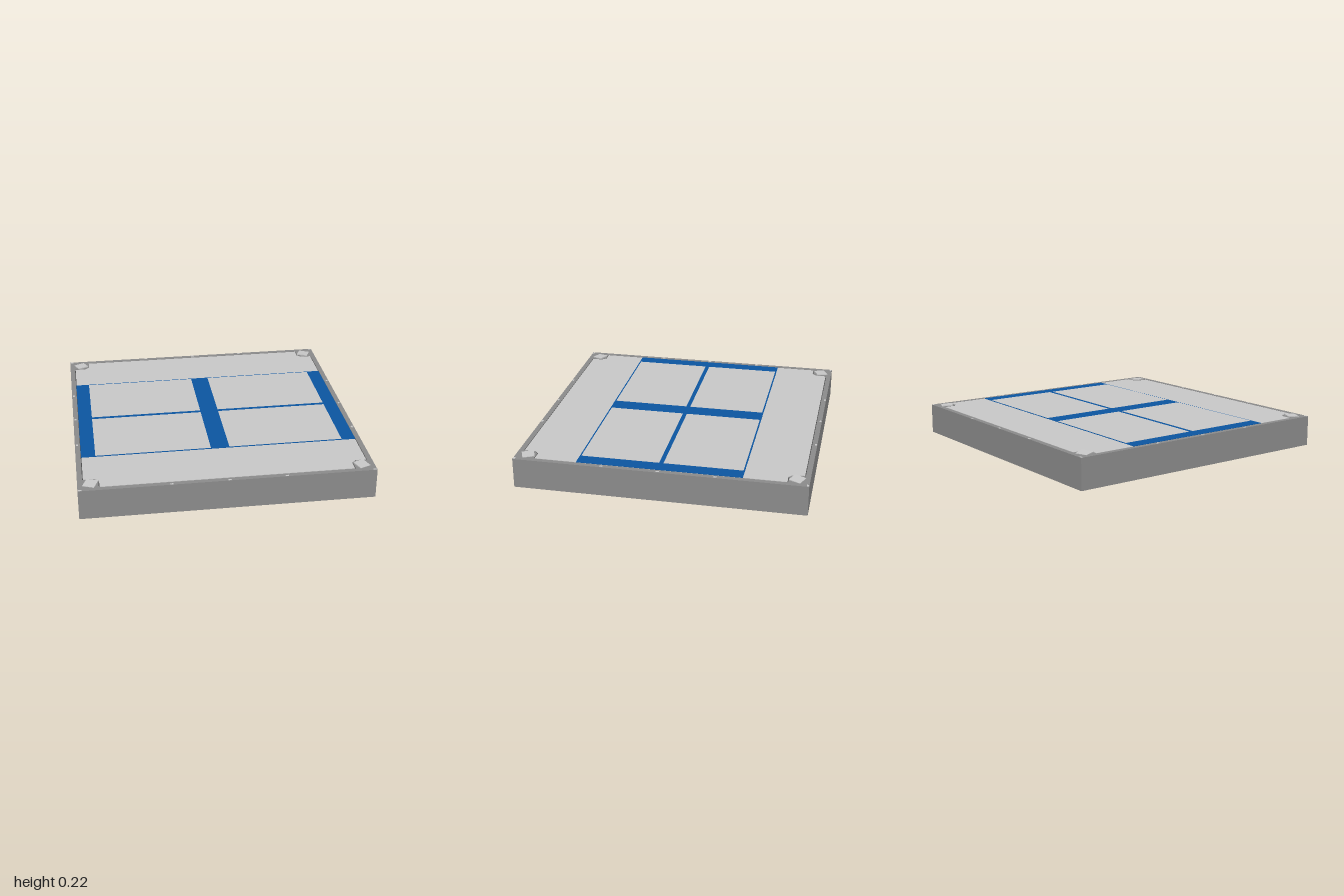
import * as THREE from 'three';

export function createModel() {
  const model = new THREE.Group();
  const mat = (name, color, side = THREE.FrontSide) => {
    const m = new THREE.MeshStandardMaterial({ color, side });
    m.name = name;
    return m;
  };
  const frameGrey = mat('frame grey', 0x8a8a8a, THREE.DoubleSide);
  const panelGrey = mat('panel light grey', 0xc6c6c6);
  const blue = mat('blue', 0x0b549f);
  const grooveGrey = mat('groove dark grey', 0x4a4a4a);

  const add = (name, geometry, material, x = 0, y = 0, z = 0, parent = model) => {
    const mesh = new THREE.Mesh(geometry, material);
    mesh.name = name;
    mesh.position.set(x, y, z);
    parent.add(mesh);
    return mesh;
  };

  // Square outline with chamfered notches at the four corners
  const outline = (inset) => {
    const e = 0.965 - inset, n = 0.86 - inset, c = 0.89 - inset;
    const corner = [[e, n], [c, n], [n, c], [n, e]];
    const pts = [];
    for (let q = 0; q < 4; q++) {
      for (const [x, y] of corner) {
        let p = [x, y];
        for (let k = 0; k < q; k++) p = [-p[1], p[0]];
        pts.push(new THREE.Vector2(...p));
      }
    }
    return pts;
  };
  const slab = (shape, depth) =>
    new THREE.ExtrudeGeometry(shape, { depth, bevelEnabled: false }).rotateX(-Math.PI / 2);

  // Outer skirt, open underneath
  const skirt = new THREE.Group();
  skirt.name = 'skirt';
  model.add(skirt);
  for (let i = 0; i < 4; i++) {
    const a = (i * Math.PI) / 2;
    const wall = add('skirtWall', new THREE.PlaneGeometry(2, 0.213), frameGrey,
      Math.sin(a), 0.1065, Math.cos(a), skirt);
    wall.rotation.y = a;
  }

  // Top rim with corner platforms
  const rim = new THREE.Shape([[-1, -1], [1, -1], [1, 1], [-1, 1]].map((p) => new THREE.Vector2(...p)));
  rim.holes.push(new THREE.Path(outline(0)));
  add('rim', slab(rim, 0.013), frameGrey, 0, 0.2, 0);

  // Narrow groove between the rim and the panel
  const groove = new THREE.Shape(outline(-0.001));
  groove.holes.push(new THREE.Path(outline(0.008)));
  add('groove', slab(groove, 0.005), grooveGrey, 0, 0.203, 0);

  // Main panel
  add('panel', slab(new THREE.Shape(outline(0.005)), 0.012), panelGrey, 0, 0.201, 0);

  // Blue backing, seen from above and below
  add('blueField', new THREE.BoxGeometry(1.925, 0.0022, 1.13), blue, 0, 0.2136, 0);
  add('blueUnderside', new THREE.BoxGeometry(1.925, 0.002, 1.13), blue, 0, 0.1995, 0);

  // Four light panes, small ticks and corner pads
  for (const sx of [-1, 1]) {
    for (const sz of [-1, 1]) {
      add('pane', new THREE.BoxGeometry(0.8, 0.002, 0.54), panelGrey, sx * 0.465, 0.215, sz * 0.285);
      const pad = add('cornerPad', new THREE.BoxGeometry(0.083, 0.008, 0.083), panelGrey,
        sx * 0.914, 0.2145, sz * 0.916);
      pad.rotation.set(sz * 0.05, sx * sz * 0.4, -sx * 0.05, 'XZY');
    }
  }

  // Small light marks along the rim
  const markLong = new THREE.BoxGeometry(0.022, 0.002, 0.014);
  const markSide = new THREE.BoxGeometry(0.014, 0.002, 0.022);
  for (const s of [-1, 1]) {
    for (const t of [-0.985, -0.385, 0, 0.385, 0.985]) {
      add('rimMark', markLong, panelGrey, t, 0.213, s * 0.991);
      if (Math.abs(t) < 0.9) add('rimMark', markSide, panelGrey, s * 0.985, 0.213, t);
    }
  }
  return model;
}
